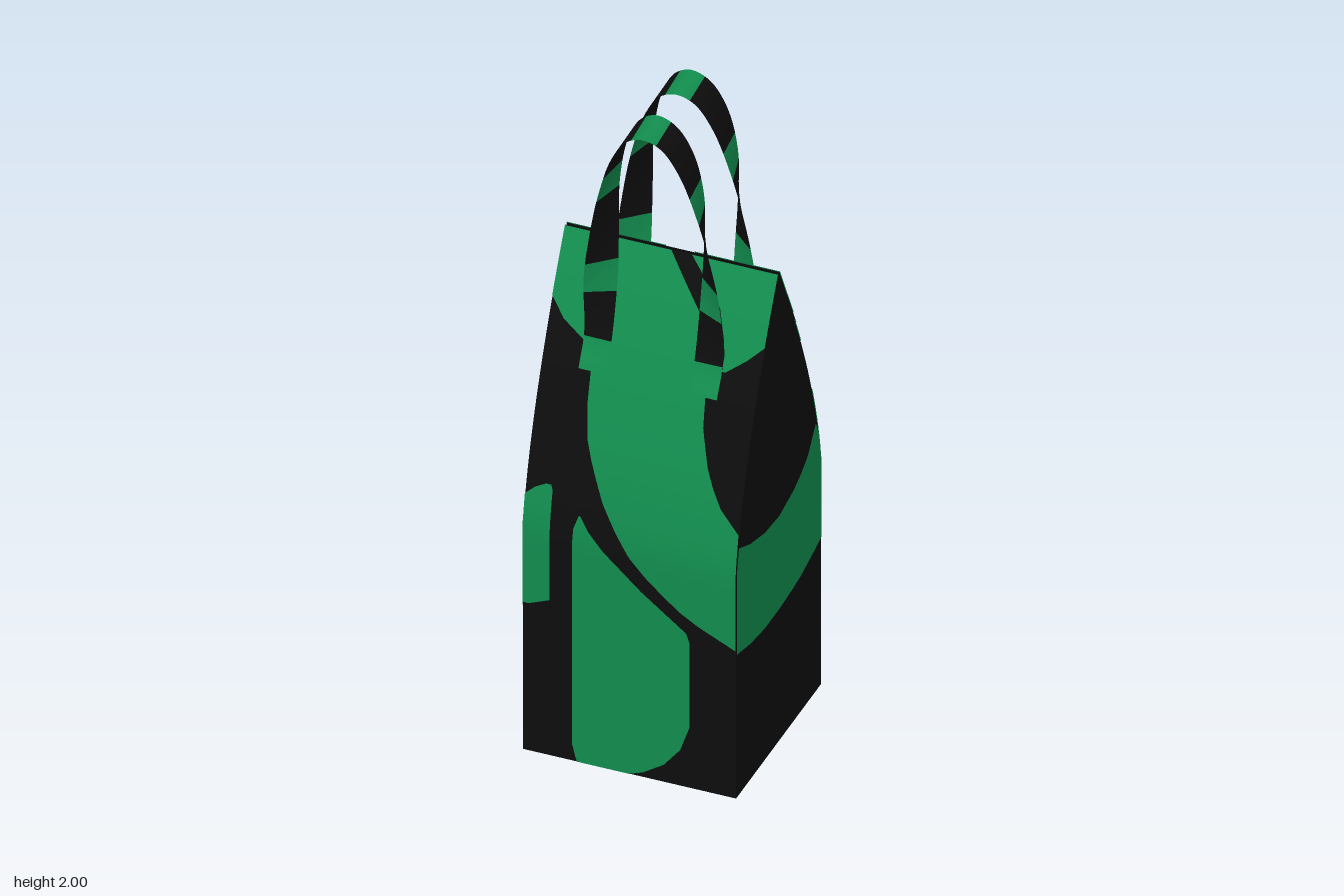
import * as THREE from 'three';
import { toCreasedNormals } from 'three/addons/utils/BufferGeometryUtils.js';

const W = 0.308, D = 0.295, TOP = 1.51, FOLD = 0.7;
const material = (name, color) => {
  const m = new THREE.MeshStandardMaterial({ color, side: THREE.DoubleSide });
  m.name = name;
  return m;
};

// Half depth of the bag at height y: straight walls, then closing to a ridge
const depth = (y) => (y < FOLD ? D : D * (1 - Math.pow(Math.min(1, (y - FOLD) / (TOP - FOLD)), 1.5)));

// Surface strip between matching pairs of 3D points
function strip(pairs) {
  const pos = [], index = [];
  pairs.forEach(([a, b], i) => {
    pos.push(...a, ...b);
    const k = i * 2;
    if (i) index.push(k - 2, k - 1, k, k - 1, k + 1, k);
  });
  const g = new THREE.BufferGeometry();
  g.setAttribute('position', new THREE.Float32BufferAttribute(pos, 3));
  g.setIndex(index);
  g.computeVertexNormals();
  return g;
}

// Painted patch: rows of [u, from, to], laid on a surface by place(v, u)
function patch(rows, place) {
  const pairs = [];
  rows.forEach(([u, a, b], i) => {
    if (i) {
      const [u0, a0, b0] = rows[i - 1];
      const n = Math.max(1, Math.ceil(Math.abs(u - u0) / 0.03));
      for (let k = 1; k < n; k++) {
        const t = k / n, mix = THREE.MathUtils.lerp, w = mix(u0, u, t);
        pairs.push([place(mix(a0, a, t), w), place(mix(b0, b, t), w)]);
      }
    }
    pairs.push([place(a, u), place(b, u)]);
  });
  return strip(pairs);
}

export function createModel() {
  const group = new THREE.Group();
  const black = material('black fabric', 0x0d0d0d);
  const green = material('green fabric', 0x128c4e);
  const add = (name, geometry, mat) => {
    const mesh = new THREE.Mesh(geometry, mat);
    mesh.name = name;
    group.add(mesh);
    return mesh;
  };

  // Bag body: side profile extruded across the width
  const profile = new THREE.Shape();
  profile.moveTo(-D, 0.003);
  profile.lineTo(D, 0.003);
  const N = 28, level = (i) => FOLD + ((TOP - FOLD) * i) / N;
  for (let i = 0; i <= N; i++) profile.lineTo(depth(level(i)), level(i));
  for (let i = N - 1; i >= 0; i--) profile.lineTo(-depth(level(i)), level(i));
  const body = new THREE.ExtrudeGeometry(profile, { depth: 2 * W, bevelEnabled: false });
  body.translate(0, 0, -W).rotateY(-Math.PI / 2);
  add('bagBody', toCreasedNormals(body, 0.5), black);

  // Front print
  const onFront = (x, y) => [x, y, depth(y) + 0.004];
  const frontPatches = {
    frontMainSweep: [
      [0.48, 0.307, 0.308], [0.53, 0.2, 0.308], [0.56, 0.15, 0.308], [0.6, 0.1, 0.308], [0.65, 0.045, 0.308],
      [0.7, 0, 0.308], [0.77, -0.045, 0.308], [0.84, -0.085, 0.308], [0.9, -0.11, 0.25], [0.95, -0.13, 0.222],
      [1.0, -0.147, 0.2], [1.1, -0.162, 0.172], [1.18, -0.166, 0.165], [1.2, -0.2, 0.2], [1.25, -0.2, 0.19],
      [1.29, -0.265, 0.14], [1.34, -0.308, 0.125], [1.38, -0.308, 0.11], [1.45, -0.308, 0.05], [TOP, -0.308, 0]],
    frontTopCorner: [
      [1.25, 0.2, 0.21], [1.29, 0.2, 0.265], [1.33, 0.19, 0.308], [1.4, 0.165, 0.308], [1.45, 0.12, 0.308], [TOP, 0.06, 0.308]],
    frontSideBar: [
      [0.48, -0.308, -0.29], [0.505, -0.308, -0.23], [0.82, -0.308, -0.23], [0.845, -0.28, -0.23], [0.86, -0.25, -0.235]],
    frontLowerPanel: [
      [0.005, -0.15, 0], [0.02, -0.155, 0.04], [0.06, -0.165, 0.1], [0.12, -0.165, 0.148], [0.2, -0.165, 0.175],
      [0.47, -0.165, 0.175], [0.5, -0.165, 0.165], [0.55, -0.165, 0.1], [0.6, -0.165, 0.035], [0.65, -0.165, -0.02],
      [0.7, -0.165, -0.075], [0.75, -0.163, -0.12], [0.79, -0.15, -0.145]],
  };
  for (const [name, rows] of Object.entries(frontPatches)) add(name, patch(rows, onFront), green);

  // Back print: two mirrored halves leaving a pointed notch between them
  const backHalf = [
    [0.48, 0.307, 0.308], [0.55, 0.24, 0.308], [0.62, 0.17, 0.308], [0.72, 0.09, 0.308], [0.85, 0.03, 0.308],
    [0.94, 0, 0.308], [0.99, 0, 0.308], [1.03, 0, 0.285], [1.1, 0, 0.272], [1.17, 0, 0.285], [1.2, 0, 0.308], [1.29, 0, 0.308]];
  // Side print: a curved band around each gusset
  const sideBand = [
    [-0.295, 0.48, 0.72], [-0.28, 0.476, 0.81], [-0.255, 0.468, 0.87], [-0.2, 0.455, 0.8], [-0.15, 0.443, 0.77],
    [-0.1, 0.437, 0.75], [0, 0.43, 0.73], [0.1, 0.43, 0.738], [0.2, 0.443, 0.765], [0.28, 0.463, 0.8], [0.295, 0.466, 0.72]];
  for (const [side, s] of [['left', 1], ['right', -1]]) {
    add(side + 'BackPrint', patch(backHalf, (x, y) => [s * x, y, -depth(y) - 0.004]), green);
    add(side + 'SideBand', patch(sideBand, (y, z) => [s * (W + 0.002), y, z]), green);
  }

  // Closing flap folded over the back, t runs from the ridge to the hem
  const onFlap = (off) => (x, t) => [x, TOP + 0.002 - 0.235 * t, -0.006 - 0.118 * t - off];
  add('closingFlap', patch([[0, -W, W], [1, -W, W]], onFlap(0)), black);
  add('flapPrintRight', patch(
    [[0, -W, -0.02], [0.3, -W, -0.06], [0.6, -W, -0.16], [0.75, -W, -0.24], [0.85, -W, -0.3]], onFlap(0.004)), green);
  add('flapPrintLeft', patch(
    [[0, 0.06, W], [0.3, 0.09, W], [0.6, 0.15, W], [0.75, 0.23, W], [0.82, 0.3, W]], onFlap(0.004)), green);

  // Handles: twisted ribbons between an outer and an inner edge curve
  const isGreen = (x, y) =>
    Math.abs(x) < 0.035 || y < 1.265 || (y > 1.41 && y < 1.5) || (y > 1.72 && y < 1.81);
  const handle = (name, shift, sign) => {
    const foot = (x, y) => [x, y, sign * (depth(y) + 0.009)];
    const edge = (low, high) => {
      const half = [...low, ...high.map(([x, y, z]) => [x, y, z + shift])];
      const mirrored = half.slice(0, -1).reverse().map(([x, y, z]) => [-x, y, z]);
      return new THREE.CatmullRomCurve3([...half, ...mirrored].map((p) => new THREE.Vector3(...p)));
    };
    const outer = edge([foot(0.2, 1.18), foot(0.2, 1.27)],
      [[0.197, 1.45, 0.141], [0.175, 1.6, 0.156], [0.143, 1.75, 0.172], [0.098, 1.89, 0.188], [0.05, 1.965, 0.197], [0, 1.985, 0.2]]);
    const inner = edge([foot(0.12, 1.18), foot(0.12, 1.27)],
      [[0.12, 1.45, 0.088], [0.123, 1.6, 0.073], [0.122, 1.75, 0.068], [0.095, 1.89, 0.077], [0.05, 1.975, 0.09], [0, 2, 0.095]]);
    const n = 120, pairs = [];
    for (let i = 0; i <= n; i++) pairs.push([outer.getPoint(i / n).toArray(), inner.getPoint(i / n).toArray()]);
    const geometry = strip(pairs);
    for (let i = 0; i < n; i++) {
      const mid = (k) => (pairs[i][0][k] + pairs[i + 1][1][k]) / 2;
      geometry.addGroup(i * 6, 6, isGreen(mid(0), mid(1)) ? 1 : 0);
    }
    add(name, geometry, [black, green]);
  };
  handle('frontHandle', 0, 1);
  handle('backHandle', -0.235, -1);

  // Underside print: two touching rings
  for (const [x, z] of [[-0.08, -0.11], [0.09, 0.04]]) {
    const ring = new THREE.RingGeometry(0.065, 0.13, 40).rotateX(Math.PI / 2).translate(x, 0, z);
    add('baseRing', ring, green);
  }
  return group;
}
